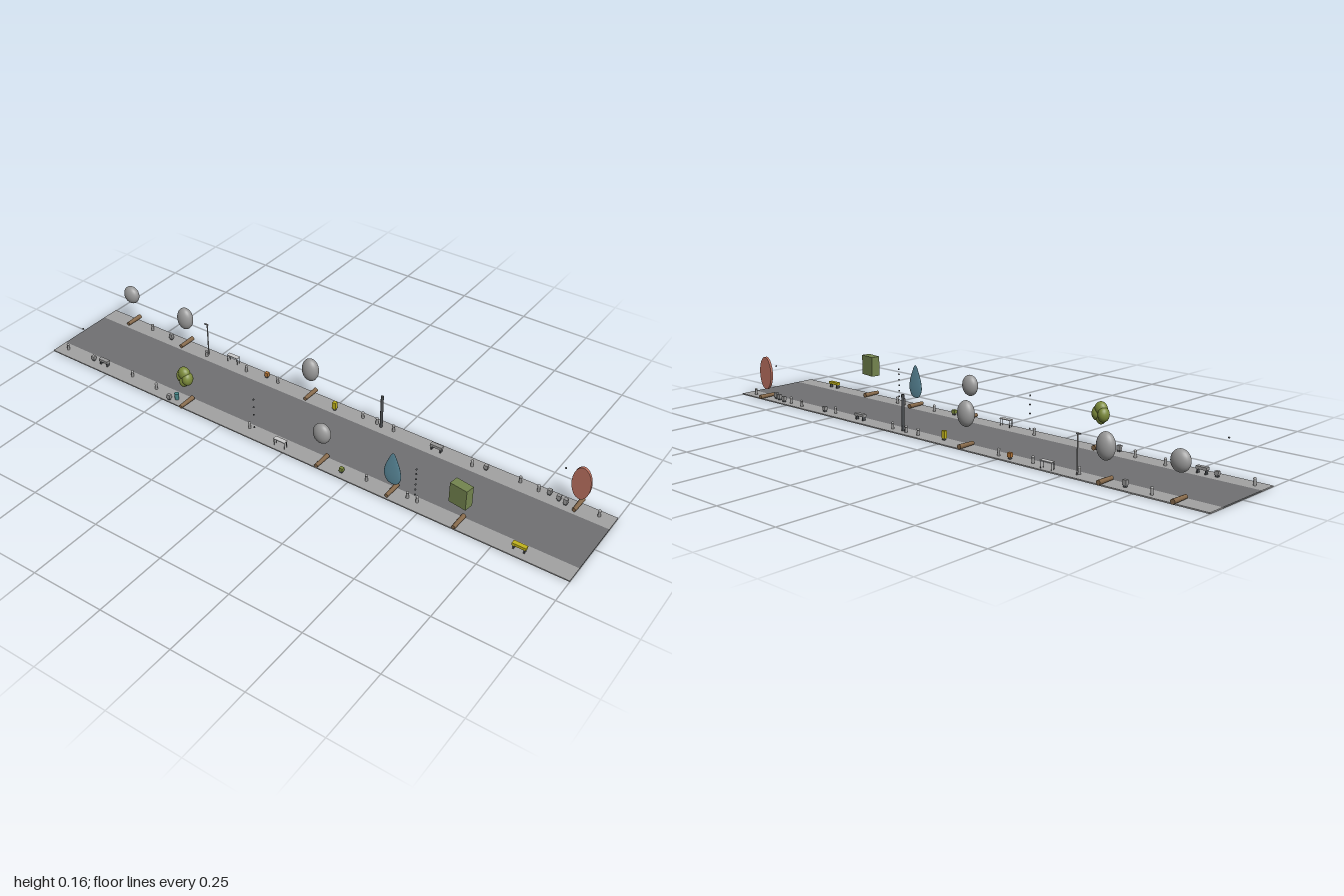
import * as THREE from 'three';

const mat = (color, flatShading = false) => new THREE.MeshStandardMaterial({ color, flatShading });
const GREY = mat(0xcccccc), ROAD = mat(0x707173), WALK = mat(0xa2a2a2), STONE = mat(0x999999);
const DARK = mat(0x4a4d50), WOOD = mat(0x86694a), OLIVE = mat(0x7d8c3c), GREEN = mat(0x74854f);
const BLUE = mat(0x5d8d9f), RED = mat(0xb9705f), YELLOW = mat(0xc2b41c), TEAL = mat(0x4a8a8c), ORANGE = mat(0xb87a3c);

const WALK_Y = 0.004;

function add(parent, name, geometry, material, x = 0, y = 0, z = 0) {
  const mesh = new THREE.Mesh(geometry, material);
  mesh.name = name;
  mesh.position.set(x, y, z);
  parent.add(mesh);
  return mesh;
}
const box = (w, h, d) => new THREE.BoxGeometry(w, h, d);
const rod = (r, h, r2 = r, n = 10) => new THREE.CylinderGeometry(r2, r, h, n);
const ball = (rx, ry, rz) => new THREE.SphereGeometry(1, 24, 16).scale(rx, ry, rz);

function group(parent, name, x, z) {
  const g = new THREE.Group();
  g.name = name;
  g.position.set(x, WALK_Y, z);
  parent.add(g);
  return g;
}

// crown shapes; heights are above the pavement
const crowns = {
  round: (g, y, ry, rz, m) => add(g, 'roundCrown', ball(0.031, ry, rz), m, 0, y),
  cluster: (g, y, ry, rz, m) => {
    add(g, 'crownTop', ball(0.022, 0.023, 0.018), m, 0, y + 0.013, 0.002);
    for (const s of [-1, 1])
      add(g, 'crownLobe', ball(0.018, 0.024, 0.02), m, s * 0.014, y - 0.003, s * 0.003);
    add(g, 'crownBase', ball(0.016, 0.02, 0.017), m, 0, y - 0.017, 0.004);
  },
  teardrop: (g, y, ry, rz, m) => {
    const outline = new THREE.SplineCurve([[0, -1], [0.6, -0.88], [0.98, -0.45], [0.85, 0.1], [0.45, 0.65], [0.2, 0.92], [0, 1]]
      .map(([r, h]) => new THREE.Vector2(r, h)));
    const pts = outline.getPoints(24).map(p => new THREE.Vector2(Math.max(0, p.x), p.y));
    add(g, 'teardropCrown', new THREE.LatheGeometry(pts, 24).scale(0.031, ry, rz), m, 0, y);
  },
  block: (g, y, ry, rz, m) => {
    add(g, 'blockCrown', box(0.062, ry * 2, rz * 2), m, 0, y).rotation.y = -0.15;
  },
  disc: (g, y, ry, rz, m) => {
    const disc = new THREE.CylinderGeometry(1, 1, 2, 32).rotateX(Math.PI / 2).scale(0.031, ry, rz);
    add(g, 'discCrown', disc, m, 0, y);
  },
};

// floating crown above a log laid across the pavement
function tree(parent, [kind, x, z, y, ry, rz, material]) {
  const g = group(parent, 'tree', x, z);
  add(g, 'trunk', rod(0.008, 0.064, 0.0065).rotateX(Math.PI / 2), WOOD, 0, 0.008);
  crowns[kind](g, y - WALK_Y, ry, rz, material);
}

// low bench with a seat plank on two feet
function bench(parent, x, z, w, material) {
  const g = group(parent, 'bench', x, z);
  add(g, 'benchSeat', box(w, 0.009, 0.015), material, 0, 0.0175);
  for (const s of [-1, 1]) add(g, 'benchFoot', box(0.004, 0.013, 0.012), DARK, s * w * 0.38, 0.0065);
}

// thin table on four legs
function table(parent, x, z, w) {
  const g = group(parent, 'table', x, z);
  add(g, 'tableTop', box(w, 0.003, 0.016), GREY, 0, 0.025);
  for (const sx of [-1, 1]) for (const sz of [-1, 1])
    add(g, 'tableLeg', rod(0.001, 0.024, 0.001, 6), DARK, sx * w * 0.45, 0.012, sz * 0.006);
}

// short post with a rounded cap
function bollard(parent, x, z, h, material) {
  const g = group(parent, 'bollard', x, z);
  add(g, 'bollardPost', rod(0.005, h, 0.004), material, 0, h / 2);
  add(g, 'bollardCap', ball(0.005, 0.004, 0.005), material, 0, h);
}

// small box on a plinth
function cabinet(parent, x, z, h, material) {
  const g = group(parent, 'cabinet', x, z);
  add(g, 'plinth', box(0.009, 0.006, 0.009), DARK, 0, 0.003);
  add(g, 'cabinetBody', box(0.013, h - 0.006, 0.012), material, 0, 0.003 + h / 2);
}

export function createModel() {
  const street = new THREE.Group();
  street.name = 'street';

  // ground
  add(street, 'road', box(2, 0.004, 0.2), ROAD, 0, 0.002);
  for (const s of [-1, 1]) add(street, 'pavement', box(2, WALK_Y, 0.062), WALK, 0, WALK_Y / 2, s * 0.131);

  // trees: kind, x, z, crown height, half height, half depth
  [
    ['round', -0.89, -0.141, 0.12, 0.033, 0.021, STONE],
    ['round', -0.64, -0.139, 0.112, 0.042, 0.023, STONE],
    ['cluster', -0.41, 0.138, 0.117, 0.037, 0.022, OLIVE],
    ['round', -0.1, -0.136, 0.112, 0.042, 0.023, STONE],
    ['round', 0.133, 0.132, 0.12, 0.036, 0.021, STONE],
    ['teardrop', 0.388, 0.126, 0.095, 0.059, 0.004, BLUE],
    ['block', 0.625, 0.133, 0.118, 0.035, 0.016, GREEN],
    ['disc', 0.88, -0.141, 0.095, 0.059, 0.0045, RED],
  ].forEach(t => tree(street, t));

  // lamp posts
  const lamp = group(street, 'darkLampPost', 0.185, -0.131);
  add(lamp, 'lampPole', rod(0.005, 0.122), DARK, 0, 0.061);
  const thin = group(street, 'thinLampPost', -0.535, -0.133);
  add(thin, 'lampPole', rod(0.0022, 0.124), STONE, 0, 0.062);
  add(thin, 'lampArm', box(0.016, 0.003, 0.005), STONE, -0.004, 0.124);

  // strings of floating beads
  const beads = (x, z, heights) => heights.forEach(y => add(street, 'bead', ball(0.003, 0.003, 0.003), DARK, x, y, z));
  beads(0.467, 0.122, [0.03, 0.05, 0.07, 0.09, 0.11, 0.128]);
  beads(-0.137, 0.125, [0.02, 0.07, 0.1, 0.13]);
  beads(0.825, -0.139, [0.128]);
  beads(-0.87, 0.13, [0.125]);

  // benches and tables
  bench(street, 0.825, 0.131, 0.046, YELLOW);
  bench(street, 0.395, -0.128, 0.042, STONE);
  bench(street, -0.79, 0.125, 0.038, STONE);
  table(street, -0.435, -0.146, 0.045);
  table(street, -0.022, 0.14, 0.045);

  // bollards on both pavements
  for (const [x, z] of [[-0.8, -0.139], [-0.535, -0.122], [-0.365, -0.128], [-0.235, -0.135], [0.11, -0.137],
    [0.165, -0.137], [0.23, -0.135], [0.525, -0.125], [0.685, -0.142], [0.75, -0.137], [0.95, -0.137],
    [-0.96, 0.128], [-0.665, 0.121], [-0.55, 0.13], [-0.16, 0.12], [0.295, 0.124], [0.44, 0.12], [0.475, 0.121]])
    bollard(street, x, z, 0.02, STONE);

  // cabinets and bins
  for (const [x, z, h, m] of [[-0.705, -0.132, 0.022, STONE], [-0.475, 0.151, 0.02, STONE], [-0.285, -0.14, 0.02, ORANGE],
    [0.01, -0.12, 0.031, YELLOW], [0.21, 0.135, 0.018, OLIVE], [0.57, -0.135, 0.018, STONE],
    [0.785, -0.141, 0.02, STONE], [0.82, -0.133, 0.02, STONE], [0.845, -0.127, 0.022, STONE], [-0.84, 0.126, 0.018, STONE]])
    cabinet(street, x, z, h, m);
  const bin = group(street, 'bin', -0.455, 0.135);
  add(bin, 'binBody', rod(0.007, 0.024, 0.008, 16), TEAL, 0, 0.012);

  return street;
}
